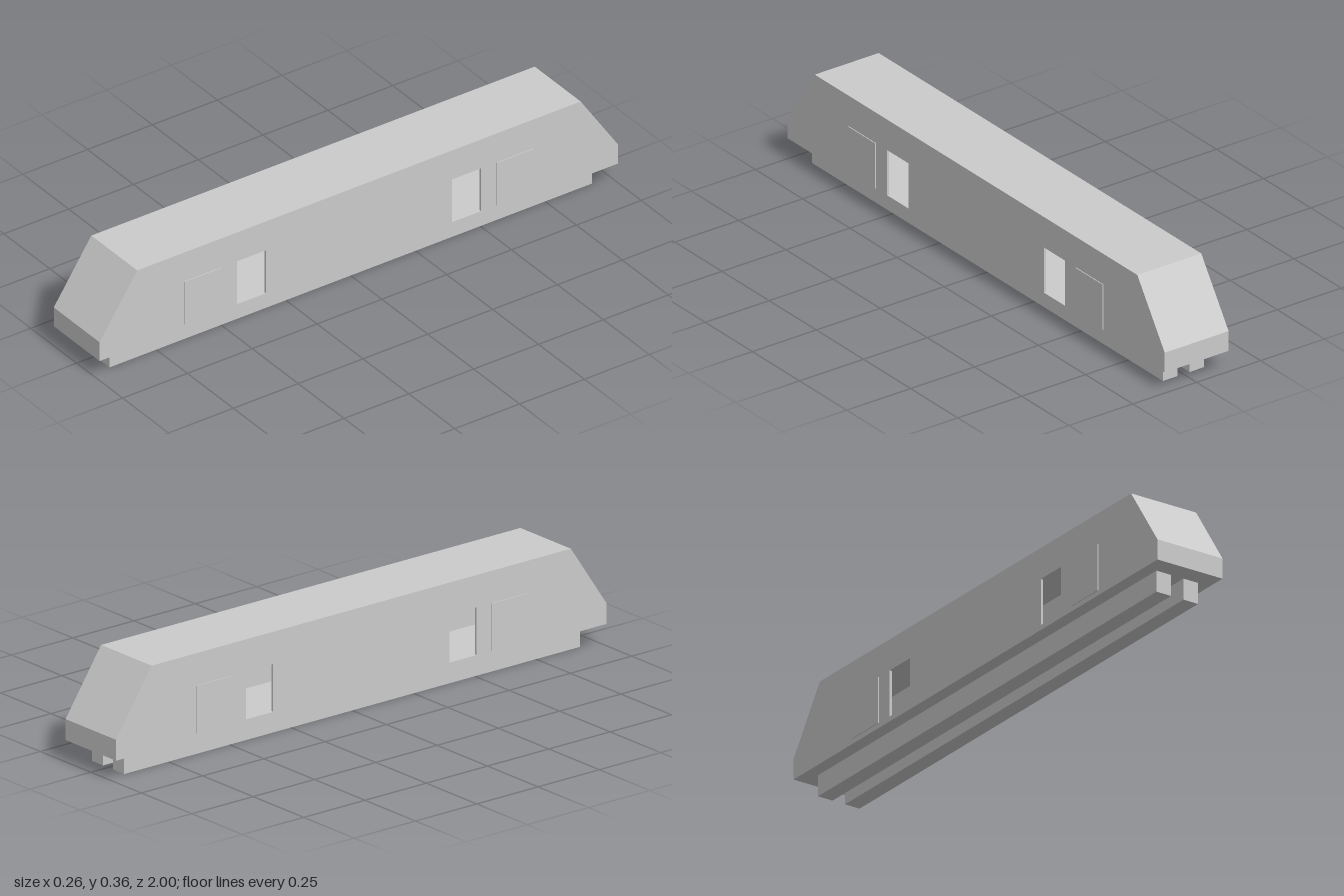
import * as THREE from 'three';

const material = new THREE.MeshStandardMaterial({ color: 0xcccccc, flatShading: true });
const HALF_WIDTH = 0.125, WALL = 0.008;
const DOOR_BOTTOM = 0.09, DOOR_TOP = 0.25;

// Side outline (length, height), pulled inwards by t
function outline(t = 0, PathType = THREE.Shape) {
  const right = [[1 - t, 0.073 + t], [1 - t, 0.143 - t * 0.3], [0.855 - t * 0.5, 0.358 - t]];
  const left = right.map(([z, y]) => [-z, y]).reverse();
  return new PathType([...right, ...left].map(([z, y]) => new THREE.Vector2(z, y)));
}

// Extrude a side outline across the width, centred on x
function acrossWidth(shape, depth) {
  const g = new THREE.ExtrudeGeometry(shape, { depth, bevelEnabled: false });
  g.translate(0, 0, -depth / 2);
  g.rotateY(-Math.PI / 2);
  return g;
}

function add(parent, name, geometry, x = 0, y = 0, z = 0) {
  const mesh = new THREE.Mesh(geometry, material);
  mesh.name = name;
  mesh.position.set(x, y, z);
  parent.add(mesh);
}

export function createModel() {
  const model = new THREE.Group();
  model.name = 'railCar';

  // Hollow band: roof, sloped ends, noses and floor
  const band = outline();
  band.holes.push(outline(WALL, THREE.Path));
  add(model, 'roofEndsAndFloor', acrossWidth(band, 2 * (HALF_WIDTH - WALL)));

  // Side wall with two doorways
  const wall = outline();
  for (const s of [-1, 1]) {
    const z0 = s * 0.415 - 0.056, z1 = s * 0.415 + 0.056;
    wall.holes.push(new THREE.Path([
      new THREE.Vector2(z0, DOOR_BOTTOM), new THREE.Vector2(z0, DOOR_TOP),
      new THREE.Vector2(z1, DOOR_TOP), new THREE.Vector2(z1, DOOR_BOTTOM),
    ]));
  }
  const wallGeometry = acrossWidth(wall, WALL);
  const panel = new THREE.BoxGeometry(0.008, DOOR_TOP - DOOR_BOTTOM, 0.144);
  const runner = new THREE.BoxGeometry(0.056, 0.073, 1.86);

  for (const side of [-1, 1]) {
    const label = side > 0 ? 'left' : 'right';
    add(model, label + 'SideWall', wallGeometry, side * (HALF_WIDTH - WALL / 2));
    // Sliding door panels standing slightly proud of the wall
    for (const end of [-1, 1]) {
      add(model, label + (end > 0 ? 'Front' : 'Rear') + 'DoorPanel', panel,
        side * 0.124, (DOOR_BOTTOM + DOOR_TOP) / 2, end * 0.603);
    }
    // Long beam under the floor
    add(model, label + 'Runner', runner, side * 0.052, 0.0365, 0);
  }
  return model;
}
